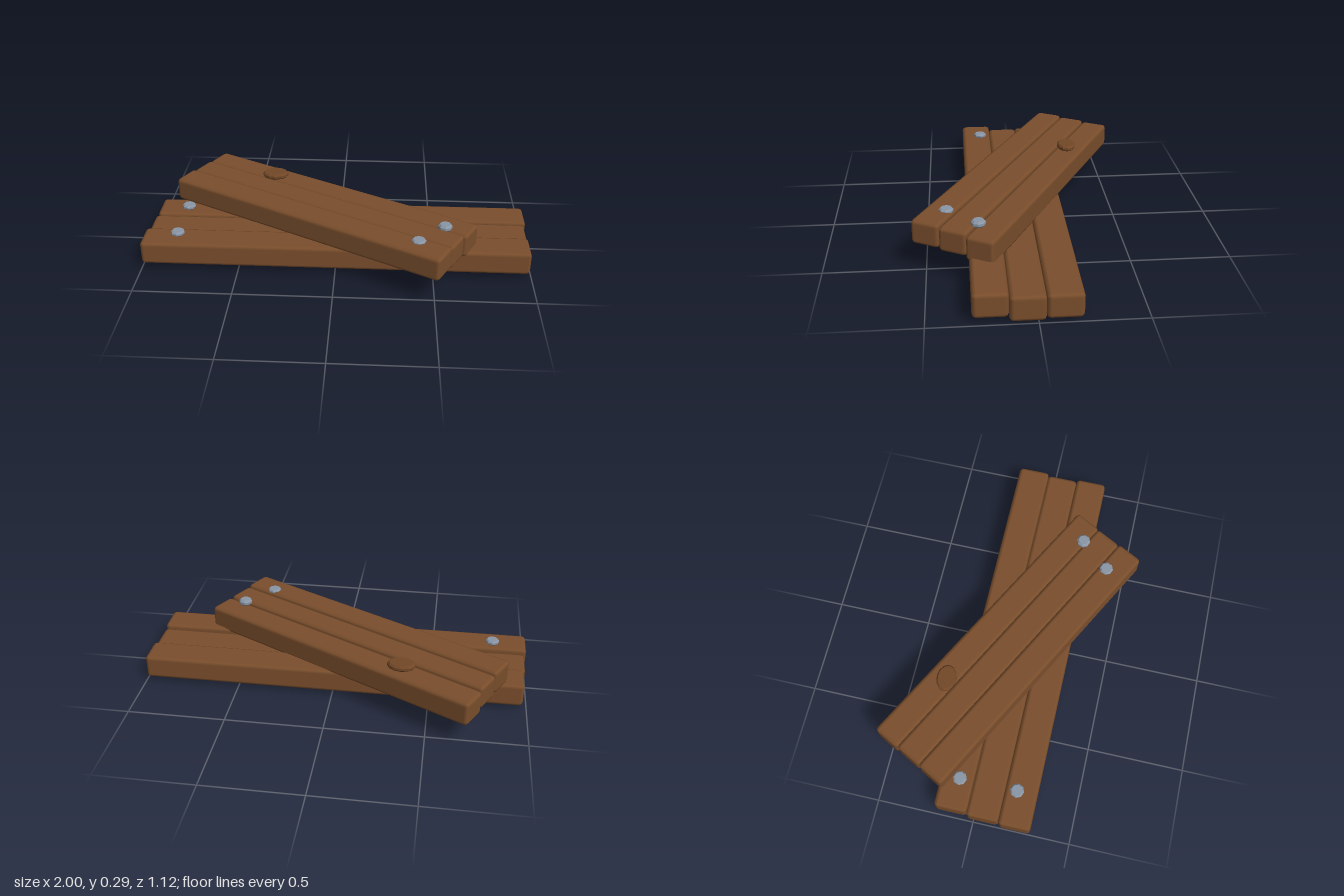
import * as THREE from 'three';
import { RoundedBoxGeometry } from 'three/addons/geometries/RoundedBoxGeometry.js';

const wood = new THREE.MeshStandardMaterial({ color: 0x7a4e2c });
wood.name = 'wood';
const knotWood = new THREE.MeshStandardMaterial({ color: 0x734827 });
knotWood.name = 'knotWood';
const steel = new THREE.MeshStandardMaterial({ color: 0x8a96a6 });
steel.name = 'steel';

// Plank with chamfered edges, given by its extents along x, y and z
function plank(name, x0, x1, y0, y1, z0, z1) {
  const geometry = new RoundedBoxGeometry(x1 - x0, y1 - y0, z1 - z0, 1, 0.02);
  const mesh = new THREE.Mesh(geometry, wood);
  mesh.name = name;
  mesh.position.set((x0 + x1) / 2, (y0 + y1) / 2, (z0 + z1) / 2);
  return mesh;
}

// Low disc with chamfered rims, standing on y = 0
function disc(name, radius, height, sides, material) {
  const c = height * 0.3;
  const profile = [[0, 0], [radius - c, 0], [radius, c], [radius, height - c], [radius - c, height], [0, height]]
    .map(([x, y]) => new THREE.Vector2(x, y));
  const geometry = new THREE.LatheGeometry(profile, sides).toNonIndexed();
  geometry.computeVertexNormals();
  const mesh = new THREE.Mesh(geometry, material);
  mesh.name = name;
  return mesh;
}

export function createModel() {
  const model = new THREE.Group();
  model.name = 'plankStack';

  // Lower planks, lying along x
  const lower = new THREE.Group();
  lower.name = 'lowerPlanks';
  lower.add(
    plank('lowerFrontPlank', -1, 0.99, 0.025, 0.15, 0.13, 0.295),
    plank('lowerMiddlePlank', -0.99, 0.99, 0, 0.13, -0.037, 0.13),
    plank('lowerBackPlank', -0.98, 1, 0.015, 0.14, -0.203, -0.034)
  );
  model.add(lower);

  // Upper planks, laid across at an angle
  const upper = new THREE.Group();
  upper.name = 'upperPlanks';
  upper.position.x = -0.09;
  upper.rotation.y = -THREE.MathUtils.degToRad(28);
  upper.add(
    plank('upperFrontPlank', -0.795, 0.795, 0.15, 0.275, 0.071, 0.22),
    plank('upperMiddlePlank', -0.795, 0.795, 0.14, 0.265, -0.074, 0.073),
    plank('upperBackPlank', -0.8, 0.805, 0.128, 0.255, -0.22, -0.073)
  );
  model.add(upper);

  // Bolt heads
  const bolts = [[-0.82, 0.138, -0.105], [-0.82, 0.148, 0.19], [0.55, 0.254, 0.245], [0.415, 0.262, 0.395]];
  bolts.forEach(([x, y, z], i) => {
    const bolt = disc('bolt' + (i + 1), 0.036, i === 2 ? 0.032 : 0.024, 8, steel);
    bolt.position.set(x, y, z);
    model.add(bolt);
  });

  // Raised oval knot in the upper back plank
  const knot = disc('knot', 0.07, 0.031, 12, knotWood);
  knot.scale.z = 0.72;
  knot.position.set(-0.36, 0.252, -0.283);
  model.add(knot);

  return model;
}
